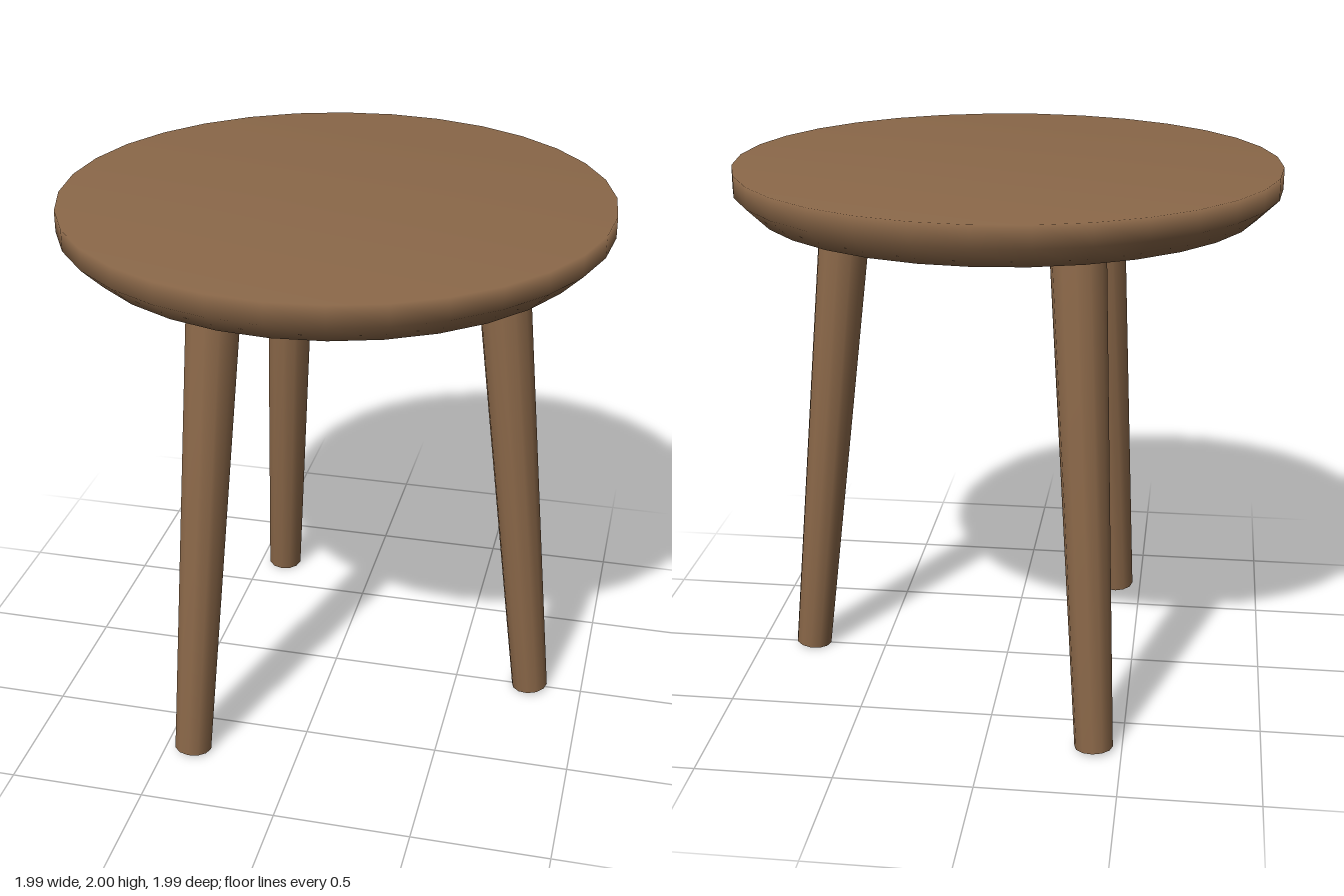
import * as THREE from 'three';

const wood = new THREE.MeshStandardMaterial({ color: 0x8b6849 });
wood.name = 'brown wood';

// Smoothly shaded turned part from [radius, height] pairs, bottom to top
function turned(name, profile, sides) {
  const points = profile.map(([r, y]) => new THREE.Vector2(r, y));
  const mesh = new THREE.Mesh(new THREE.LatheGeometry(points, sides), wood);
  mesh.name = name;
  return mesh;
}

export function createModel() {
  const group = new THREE.Group();
  group.name = 'stool';

  // Round seat with a chamfered underside
  group.add(turned('seat', [
    [0, 1.845], [0.915, 1.845], [0.994, 1.922], [0.994, 2], [0, 2],
  ], 32));

  // Three tapered legs splayed outwards
  const tilt = Math.atan2(0.195, 1.837);
  for (let i = 0; i < 3; i++) {
    const leg = turned('leg', [[0, 0], [0.07, 0], [0.098, 1.87], [0, 1.87]], 12);
    leg.position.set(0.795, 0.0075, 0);
    leg.rotation.z = tilt;
    const pivot = new THREE.Group();
    pivot.name = 'legPivot' + (i + 1);
    pivot.rotation.y = (i * Math.PI * 2) / 3;
    pivot.add(leg);
    group.add(pivot);
  }
  return group;
}
